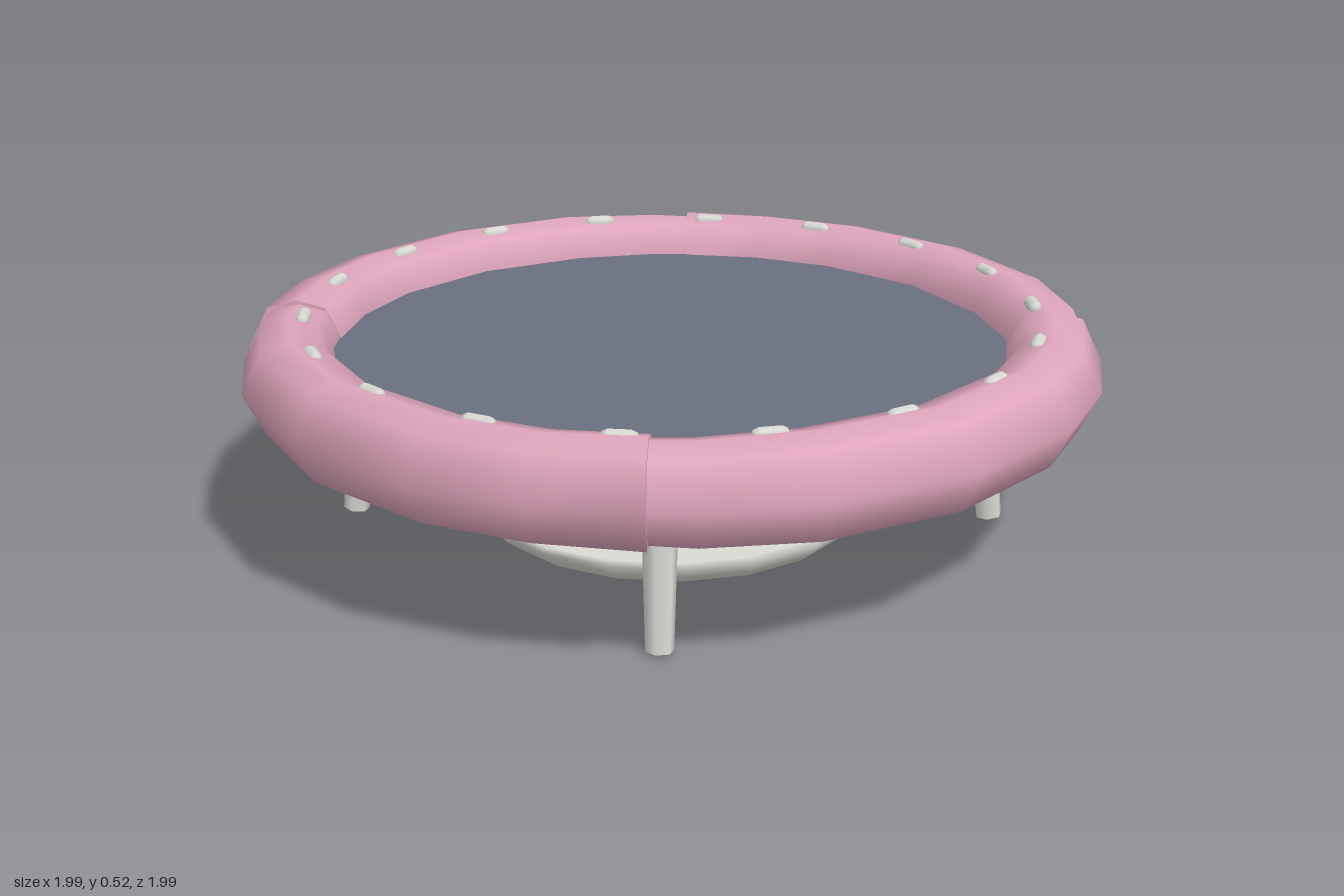
import * as THREE from 'three';

const material = (name, color) => {
  const m = new THREE.MeshStandardMaterial({ color });
  m.name = name;
  return m;
};

export function createModel() {
  const pink = material('pink padding', 0xdfa5bc);
  const slate = material('slate mat', 0x69707e);
  const metal = material('pale metal', 0xdadad5);
  const group = new THREE.Group();
  const add = (name, geometry, mat, parent = group) => {
    const mesh = new THREE.Mesh(geometry, mat);
    mesh.name = name;
    parent.add(mesh);
    return mesh;
  };

  // Padded rim: one quarter, its thin end tucked inside the next quarter's start
  const section = [[0.115, 0], [0.068, 0.095], [0, 0.113], [-0.068, 0.095],
    [-0.113, 0], [-0.068, -0.095], [0, -0.113], [0.068, -0.095]];
  const rings = [[134, 1.02], [120, 1], [105, 1], [85, 1], [65, 1], [50, 0.96], [35, 0.9]]; // angle, scale
  const n = section.length;
  const positions = [], index = [];
  for (const [deg, s] of rings) {
    const a = THREE.MathUtils.degToRad(deg);
    for (const [r, h] of section) {
      const radius = 0.885 + r * s;
      positions.push(radius * Math.cos(a), 0.405 + h * s, -radius * Math.sin(a));
    }
  }
  for (let i = 0; i < rings.length - 1; i++) {
    for (let j = 0; j < n; j++) {
      const a = i * n + j, b = i * n + (j + 1) % n;
      index.push(a, b, a + n, b, b + n, a + n);
    }
  }
  // End caps use their own corners so their edges stay sharp
  [0, rings.length - 1].forEach((ring, end) => {
    const base = positions.length / 3;
    positions.push(...positions.slice(ring * n * 3, (ring + 1) * n * 3));
    for (let j = 1; j < n - 1; j++) {
      if (end) index.push(base, base + j, base + j + 1);
      else index.push(base, base + j + 1, base + j);
    }
  });
  const padGeometry = new THREE.BufferGeometry();
  padGeometry.setAttribute('position', new THREE.Float32BufferAttribute(positions, 3));
  padGeometry.setIndex(index);
  padGeometry.computeVertexNormals();
  for (let i = 0; i < 4; i++) {
    add('rimPad', padGeometry, pink).rotation.y = i * Math.PI / 2;
  }

  // Jumping mat
  add('mat', new THREE.CylinderGeometry(0.83, 0.83, 0.015, 18), slate).position.y = 0.422;

  // Rounded clips around the top of the rim
  const clipGeometry = new THREE.CapsuleGeometry(0.017, 0.046, 2, 8).rotateX(Math.PI / 2);
  for (let i = 0; i < 18; i++) {
    const a = i * Math.PI / 9;
    const clip = add('clip', clipGeometry, metal);
    clip.position.set(0.853 * Math.cos(a), 0.507, -0.853 * Math.sin(a));
    clip.rotation.y = a;
  }

  // Coil spring
  const turns = 3, coil = [];
  for (let i = 0; i <= turns * 12; i++) {
    const t = i / 12, a = t * Math.PI * 2;
    coil.push(new THREE.Vector3(-0.297 * Math.cos(a), 0.075 + t * 0.09, 0.297 * Math.sin(a)));
  }
  const coilCurve = new THREE.CatmullRomCurve3(coil);
  add('spring', new THREE.TubeGeometry(coilCurve, 36, 0.036, 6), metal);
  for (const end of [0, 1]) {
    add('springEnd', new THREE.SphereGeometry(0.034, 6, 4), metal).position.copy(coilCurve.getPoint(end));
  }

  // Flared base plate
  const plate = [[0, 0.01], [0.43, 0.01], [0.43, 0.01], [0.455, 0.03], [0.48, 0.06],
    [0.465, 0.067], [0.43, 0.05], [0.43, 0.05], [0, 0.05]];
  add('basePlate', new THREE.LatheGeometry(plate.map(([x, y]) => new THREE.Vector2(x, y)), 18), metal);

  // Legs, splayed outward on the diagonals
  const up = new THREE.Vector3(0, 1, 0);
  const legGeometry = new THREE.CylinderGeometry(0.043, 0.031, 0.42, 6);
  for (const sx of [-1, 1]) {
    for (const sz of [-1, 1]) {
      const foot = new THREE.Vector3(sx * 0.54, 0.003, sz * 0.54);
      const top = new THREE.Vector3(sx * 0.503, 0.42, sz * 0.503);
      const leg = add('leg', legGeometry, metal);
      leg.position.copy(foot).add(top).multiplyScalar(0.5);
      leg.quaternion.setFromUnitVectors(up, top.sub(foot).normalize());
    }
  }
  return group;
}
